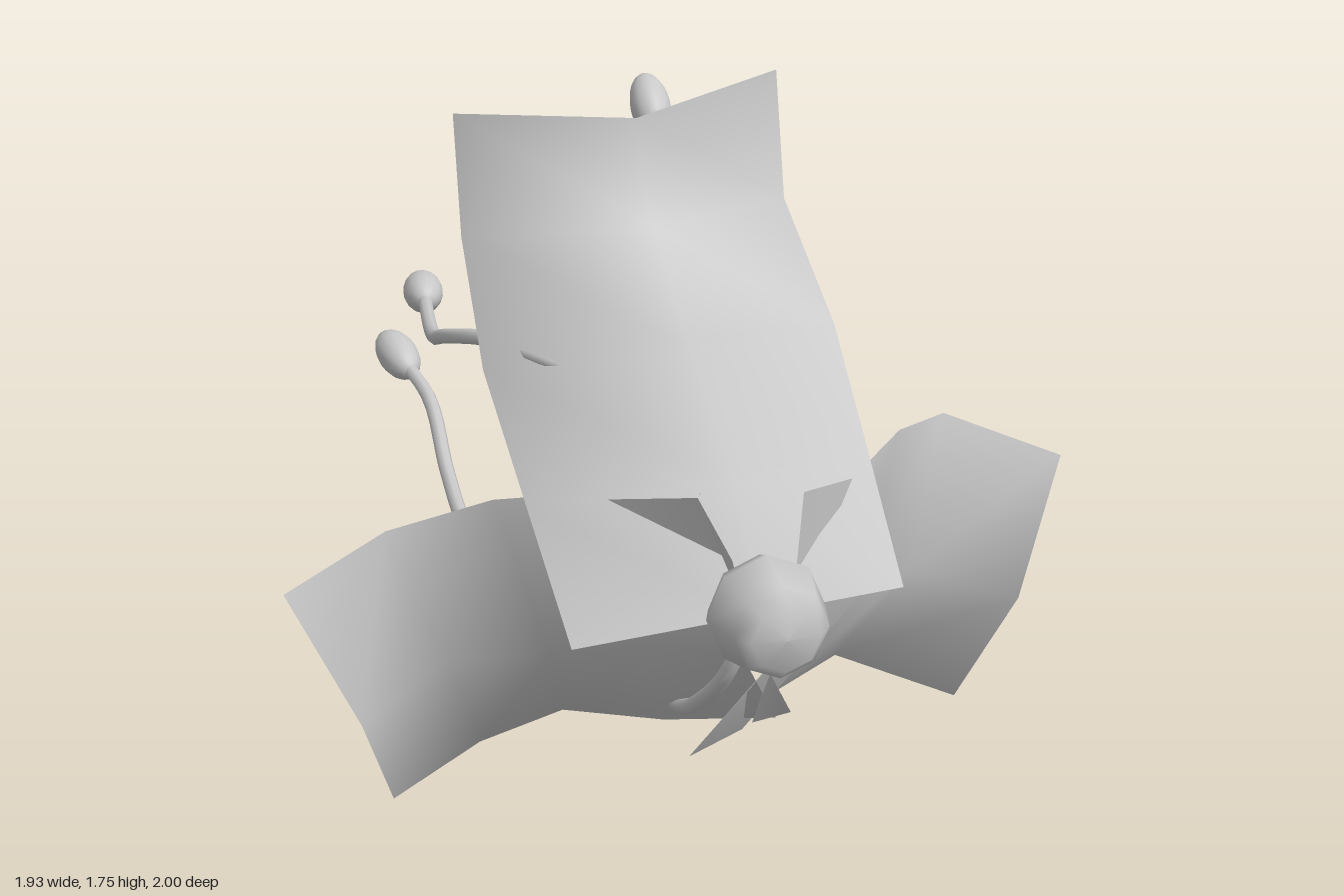
import * as THREE from 'three';

// Sheet from rows of points, all rows the same length
function sheet(rows) {
  const n = rows[0].length;
  const index = [];
  for (let r = 0; r < rows.length - 1; r++) {
    for (let c = 0; c < n - 1; c++) {
      const a = r * n + c;
      index.push(a, a + 1, a + n, a + 1, a + n + 1, a + n);
    }
  }
  const g = new THREE.BufferGeometry();
  g.setAttribute('position', new THREE.Float32BufferAttribute(rows.flat(2), 3));
  g.setIndex(index);
  g.computeVertexNormals();
  return g;
}

export function createModel() {
  const flower = new THREE.Group();
  flower.name = 'flower';
  const grey = new THREE.MeshStandardMaterial({ color: 0xc8c8c8, side: THREE.DoubleSide });
  grey.name = 'soft grey';

  const add = (name, geometry, parent = flower) => {
    const mesh = new THREE.Mesh(geometry, grey);
    mesh.name = name;
    parent.add(mesh);
    return mesh;
  };

  // Petals: five rows from base to tip, each edge / fold / edge
  const petals = {
    topPetal: [
      [[-0.42, 0.69, 0.69], [-0.03, 0.79, 0.835], [0.37, 0.735, 0.68]],
      [[-0.435, 0.9, 0.345], [-0.04, 1.045, 0.65], [0.36, 0.98, 0.46]],
      [[-0.45, 1.11, 0.0], [-0.06, 1.265, 0.385], [0.35, 1.225, 0.235]],
      [[-0.47, 1.41, -0.11], [-0.07, 1.47, 0.12], [0.335, 1.44, -0.1]],
      [[-0.48, 1.71, -0.12], [-0.09, 1.72, 0.075], [0.32, 1.755, -0.13]],
    ],
    leftPetal: [
      [[0.14, 0.94, 0.62], [0.0, 0.65, 0.815], [-0.14, 0.37, 0.67]],
      [[0.31, 0.945, 0.5], [0.19, 0.67, 0.62], [0.06, 0.3, 0.45]],
      [[0.53, 0.93, 0.22], [0.38, 0.6, 0.4], [0.22, 0.265, 0.22]],
      [[0.71, 0.895, 0.06], [0.58, 0.54, 0.2], [0.46, 0.23, 0.0]],
      [[0.966, 0.81, 0.21], [0.81, 0.5, 0.345], [0.73, 0.15, 0.155]],
    ],
    rightPetal: [
      [[0.1, 0.39, 0.58], [-0.06, 0.68, 0.81], [-0.1, 1.0, 0.62]],
      [[-0.1, 0.29, 0.33], [-0.22, 0.64, 0.63], [-0.28, 0.945, 0.42]],
      [[-0.28, 0.205, 0.05], [-0.4, 0.55, 0.41], [-0.48, 0.86, 0.2]],
      [[-0.48, 0.115, -0.01], [-0.6, 0.45, 0.19], [-0.71, 0.745, 0.05]],
      [[-0.71, 0.005, 0.02], [-0.815, 0.32, 0.21], [-0.966, 0.625, 0.08]],
    ],
  };
  for (const [name, rows] of Object.entries(petals)) add(name, sheet(rows));

  // Sepals: small leaves between the petals
  const sepals = {
    leftSepal: [
      [[0.05, 0.77, 0.82], [0.1, 0.73, 0.72]],
      [[0.1, 1.03, 0.745], [0.285, 0.965, 0.555]],
    ],
    rightSepal: [
      [[-0.06, 0.8, 0.82], [-0.075, 0.9, 0.775]],
      [[-0.135, 1.03, 0.71], [-0.29, 0.97, 0.525]],
    ],
    lowerSepal: [
      [[0.0, 0.63, 0.82], [0.03, 0.59, 0.74]],
      [[0.045, 0.38, 0.57], [0.13, 0.41, 0.6]],
    ],
  };
  for (const [name, rows] of Object.entries(sepals)) add(name, sheet(rows));

  // Receptacle: eight-sided cup narrowing to the stem end
  const profile = [[0, 0.775], [0.06, 0.78], [0.118, 0.8], [0.138, 0.85], [0.11, 0.955], [0.08, 0.99], [0, 1]];
  const cup = new THREE.LatheGeometry(profile.map(([r, h]) => new THREE.Vector2(r, h)), 8);
  cup.rotateX(Math.PI / 2);
  add('receptacle', cup).position.set(-0.02, 0.8, 0);

  // Stamens: path of each filament, ending at the middle of its anther
  const base = [-0.02, 0.8, 0.79];
  const stamens = [
    [[-0.02, 0.87, 0.45], [-0.02, 0.91, 0.14], [0.02, 0.935, -0.15], [0.12, 1.02, -0.31], [0.19, 1.25, -0.5], [0.19, 1.51, -0.765]],
    [[0.15, 0.78, 0.45], [0.33, 0.81, 0.09], [0.4, 0.9, -0.16], [0.345, 1.06, -0.42], [0.3, 1.11, -0.61], [0.23, 1.13, -0.885]],
    [[0.15, 0.62, 0.45], [0.29, 0.47, 0.15], [0.32, 0.4, -0.13], [0.315, 0.46, -0.4], [0.29, 0.48, -0.6], [0.24, 0.44, -0.89]],
    [[-0.25, 0.74, 0.42], [-0.42, 0.67, 0.15], [-0.46, 0.625, -0.155], [-0.45, 0.67, -0.45], [-0.44, 0.78, -0.7], [-0.48, 0.835, -0.91]],
    [[-0.1, 1.04, 0.4], [-0.26, 1.14, 0.18], [-0.35, 1.165, 0.07], [-0.425, 1.17, -0.05], [-0.485, 1.12, -0.235], [-0.465, 1.03, -0.5], [-0.41, 1.016, -0.885]],
    [[-0.075, 0.62, 0.755], [-0.1, 0.49, 0.63], [-0.095, 0.38, 0.43], [-0.09, 0.325, 0.07], [-0.13, 0.355, -0.1], [-0.21, 0.38, -0.29], [-0.335, 0.35, -0.5]],
  ];
  stamens.forEach((path, i) => {
    const stamen = new THREE.Group();
    stamen.name = `stamen${i + 1}`;
    flower.add(stamen);
    const curve = new THREE.CatmullRomCurve3([base, ...path].map((p) => new THREE.Vector3(...p)));
    add('filament', new THREE.TubeGeometry(curve, 36, 0.019, 8), stamen);
    const anther = add('anther', new THREE.SphereGeometry(1, 16, 12), stamen);
    anther.scale.set(0.053, i === 5 ? 0.078 : 0.098, 0.053);
    anther.position.copy(curve.getPoint(1));
    anther.quaternion.setFromUnitVectors(new THREE.Vector3(0, 1, 0), curve.getTangent(1));
  });

  return flower;
}
